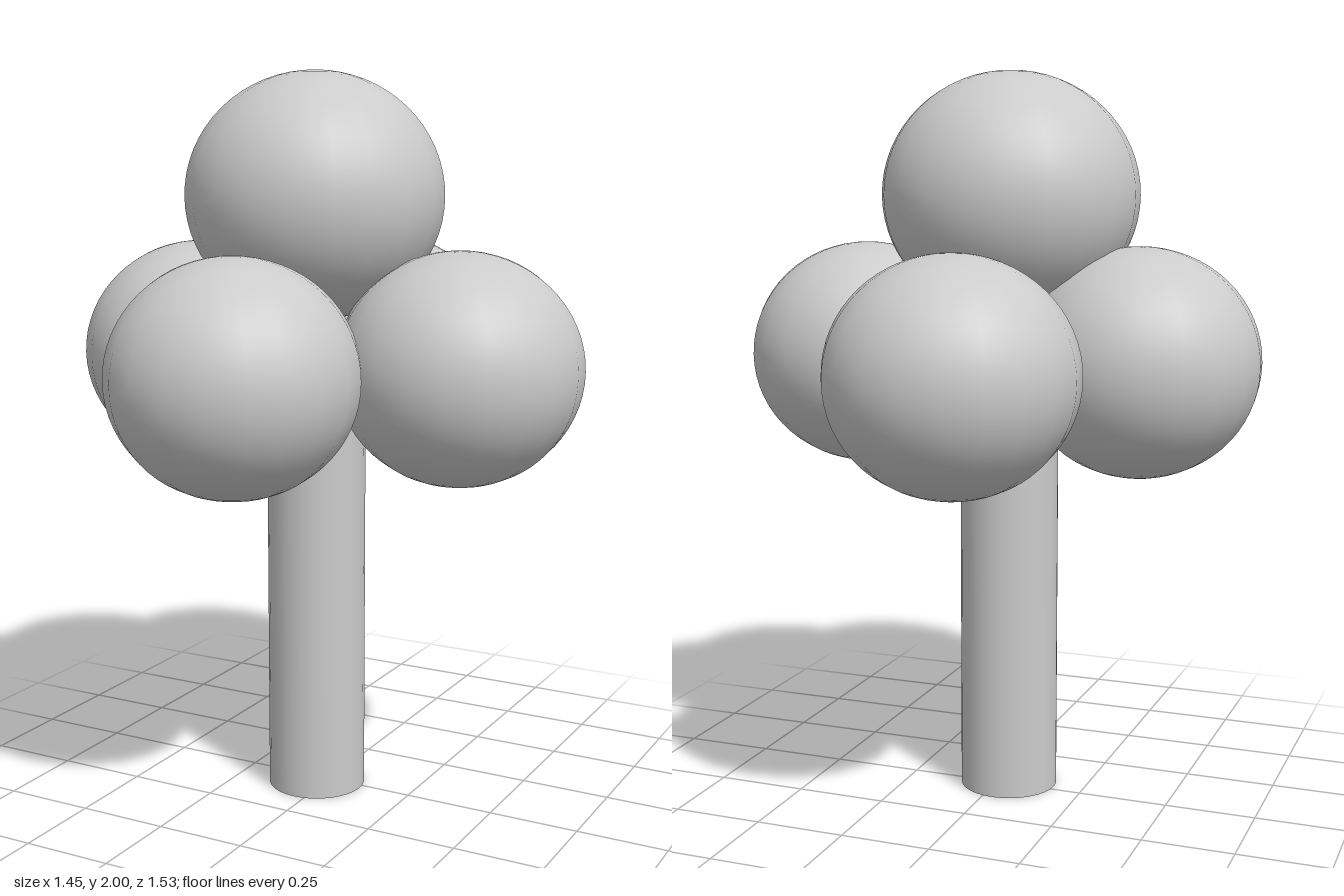
import * as THREE from 'three';

export function createModel() {
  const group = new THREE.Group();
  const material = new THREE.MeshStandardMaterial({ color: 0xcccccc });
  const openMaterial = new THREE.MeshStandardMaterial({ color: 0xcccccc, side: THREE.DoubleSide });

  // Trunk: a hollow tube, open at both ends
  const trunkHeight = 1.15;
  const trunk = new THREE.Mesh(
    new THREE.CylinderGeometry(0.136, 0.136, trunkHeight, 32, 1, true), openMaterial);
  trunk.position.set(-0.03, trunkHeight / 2, 0.022);
  trunk.name = 'trunk';
  group.add(trunk);

  // Foliage: slightly flattened balls, four around the trunk and one on top
  const ball = new THREE.SphereGeometry(1, 20, 32);
  const addFoliage = (name, x, y, z, radius, halfHeight) => {
    const mesh = new THREE.Mesh(ball, material);
    mesh.position.set(x, y, z);
    mesh.scale.set(radius, halfHeight, radius);
    mesh.name = name;
    group.add(mesh);
  };
  addFoliage('topFoliage', -0.034, 1.668, 0.02, 0.351, 0.332);
  const ring = [
    ['leftFoliage', 0.395, 0.02],
    ['rightFoliage', -0.4, 0.02],
    ['frontFoliage', -0.045, 0.435],
    ['backFoliage', -0.045, -0.438],
  ];
  for (const [name, x, z] of ring) addFoliage(name, x, 1.227, z, 0.328, 0.31);

  return group;
}
